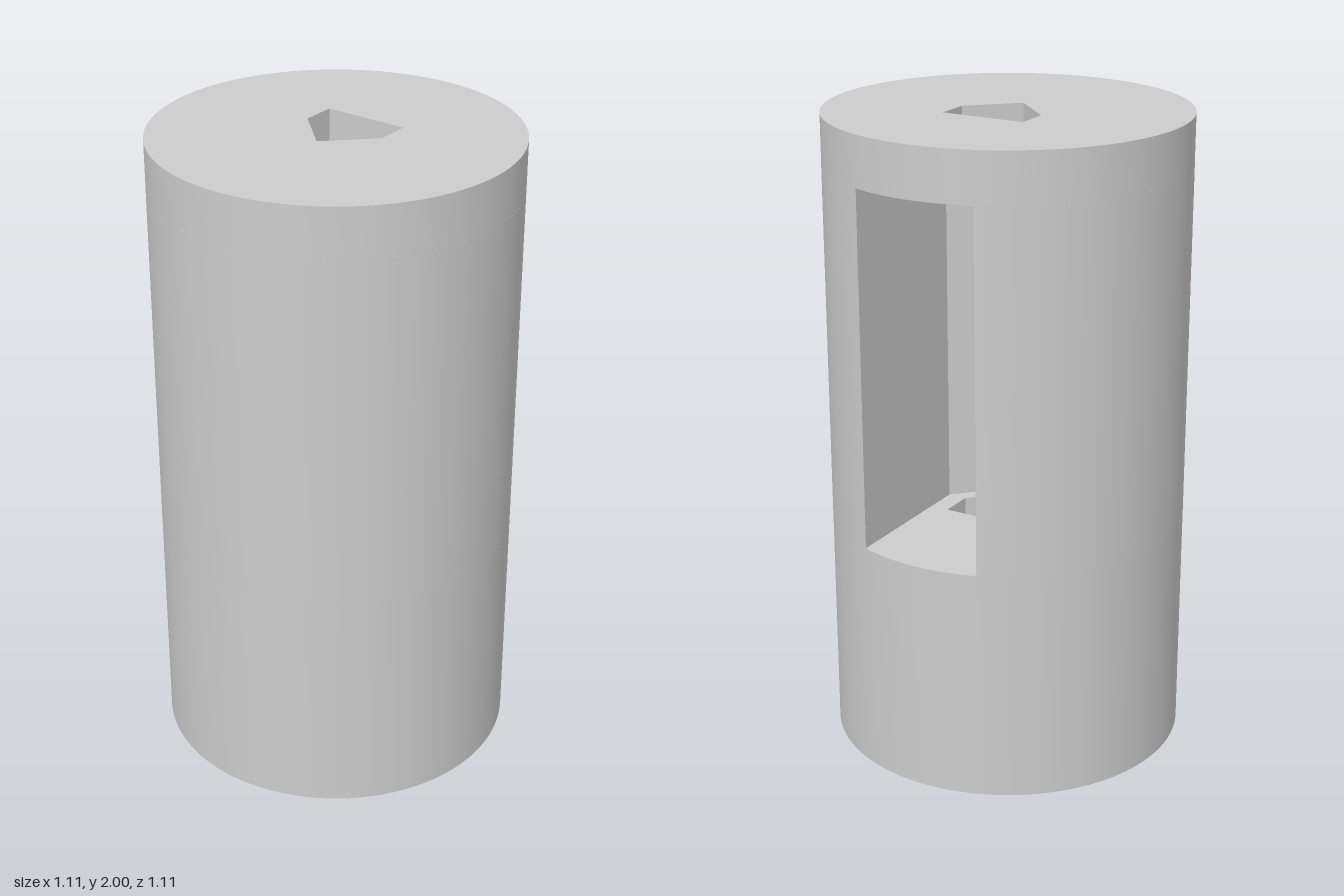
import * as THREE from 'three';
import { toCreasedNormals } from 'three/addons/utils/BufferGeometryUtils.js';

const RADIUS = 0.555;
const HEIGHT = 2;
const POCKET_BOTTOM = 0.735;
const POCKET_TOP = 1.845;
const POCKET_HALF = 0.194;

// Plan shapes use x and -z, so +y in a shape points to the back.
function discWithBore() {
  const disc = new THREE.Shape();
  disc.absarc(0, 0, RADIUS, 0, Math.PI * 2, false);
  const bore = new THREE.Path();
  bore.setFromPoints([
    [-0.135, 0.147], [-0.135, 0.04], [0, -0.092], [0.135, 0.04], [0.135, 0.147], [-0.135, 0.147],
  ].map(([x, y]) => new THREE.Vector2(x, y)));
  disc.holes.push(bore);
  return disc;
}

// Round wall, cut open at the back by a pocket with a peaked inner end
function pocketWall() {
  const start = Math.acos(POCKET_HALF / RADIUS);
  const wall = new THREE.Shape();
  wall.absarc(0, 0, RADIUS, start, Math.PI - start, true);
  wall.lineTo(-POCKET_HALF, 0.04);
  wall.lineTo(0, -0.154);
  wall.lineTo(POCKET_HALF, 0.04);
  wall.closePath();
  return wall;
}

function extrudeUp(shape, bottom, top) {
  const geometry = new THREE.ExtrudeGeometry(shape, {
    depth: top - bottom, bevelEnabled: false, curveSegments: 48,
  });
  geometry.rotateX(-Math.PI / 2);
  geometry.translate(0, bottom, 0);
  return toCreasedNormals(geometry, 0.5);
}

// Keep only the upright sides of an extrusion (its second group)
function sidesOnly(geometry) {
  const { start, count } = geometry.groups[1];
  const sides = new THREE.BufferGeometry();
  for (const name of ['position', 'normal']) {
    const part = geometry.attributes[name].array.slice(start * 3, (start + count) * 3);
    sides.setAttribute(name, new THREE.BufferAttribute(part, 3));
  }
  return sides;
}

export function createModel() {
  const model = new THREE.Group();
  model.name = 'cylinderWithPocket';
  const grey = new THREE.MeshStandardMaterial({ color: 0xcccccc });
  grey.name = 'lightGrey';

  const add = (name, geometry) => {
    geometry.clearGroups();
    const mesh = new THREE.Mesh(geometry, grey);
    mesh.name = name;
    model.add(mesh);
  };

  add('lowerBody', extrudeUp(discWithBore(), 0, POCKET_BOTTOM));
  add('pocketWall', sidesOnly(extrudeUp(pocketWall(), POCKET_BOTTOM, POCKET_TOP)));
  add('upperCap', extrudeUp(discWithBore(), POCKET_TOP, HEIGHT));
  return model;
}
